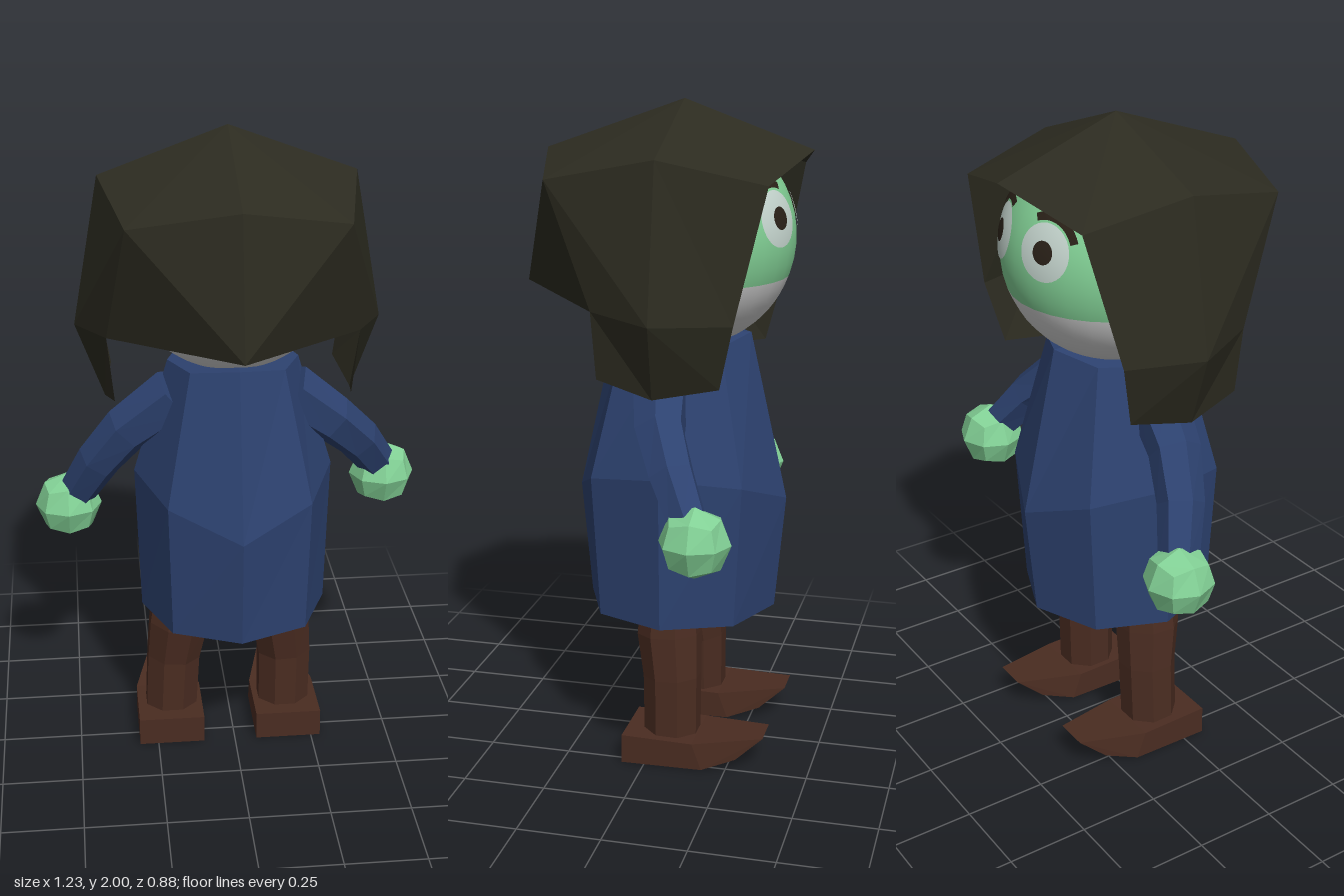
import * as THREE from 'three';

const mat = (name, color, side = THREE.FrontSide) => {
  const m = new THREE.MeshStandardMaterial({ color, side });
  m.name = name;
  return m;
};

// Flat-shaded copy of a geometry
function faceted(geo) {
  const g = geo.index ? geo.toNonIndexed() : geo;
  g.deleteAttribute('uv');
  g.computeVertexNormals();
  return g;
}

// Skin a stack of rings (bottom to top) and close both ends
function loft(rings) {
  const n = rings[0].length, pos = [];
  const tri = (...p) => p.forEach((v) => pos.push(v.x, v.y, v.z));
  for (let i = 0; i < rings.length - 1; i++) {
    for (let j = 0; j < n; j++) {
      const k = (j + 1) % n, a = rings[i], b = rings[i + 1];
      tri(a[j], a[k], b[k]);
      tri(a[j], b[k], b[j]);
    }
  }
  const lo = rings[0], hi = rings[rings.length - 1];
  for (let j = 1; j < n - 1; j++) {
    tri(lo[0], lo[j + 1], lo[j]);
    tri(hi[0], hi[j], hi[j + 1]);
  }
  const g = new THREE.BufferGeometry();
  g.setAttribute('position', new THREE.Float32BufferAttribute(pos, 3));
  return faceted(g);
}

// Tapered limb along points [x, y, z, radius], lowest point first
function limb(path, sides) {
  const pts = path.map(([x, y, z]) => new THREE.Vector3(x, y, z));
  return loft(pts.map((p, i) => {
    const t = pts[Math.min(i + 1, pts.length - 1)].clone().sub(pts[Math.max(i - 1, 0)]).normalize();
    const c = new THREE.Vector3(0, 0, 1).addScaledVector(t, -t.z).normalize();
    const s = t.clone().cross(c);
    return Array.from({ length: sides }, (_, k) => {
      const a = ((k + 0.5) / sides) * Math.PI * 2, r = path[i][3];
      return p.clone().addScaledVector(c, Math.cos(a) * r).addScaledVector(s, Math.sin(a) * r);
    });
  }));
}

// Thin hair shell: one half described, the other mirrored
function hairGeometry() {
  const P = {
    apex: [0, 2, -0.055],
    b: [0, 1.85, 0.365], bd: [0.315, 1.79, 0.28], s: [0.38, 1.86, -0.06],
    fd: [0.31, 1.79, -0.365], f: [0, 1.86, -0.44],
    b2: [0, 1.445, 0.435], bm: [0.37, 1.43, 0.13], sm: [0.46, 1.41, -0.06], fm: [0.385, 1.41, -0.285],
    bl: [0.35, 1.23, 0.12], sl: [0.375, 1.185, -0.05], fl: [0.35, 1.22, -0.24],
  };
  const faces = [
    'apex b bd', 'apex bd s', 'apex s fd', 'apex fd f', 'b b2 bd', 'bd b2 bm',
    'bd bm sm', 'bd sm s', 's sm fm', 's fm fd', 'bm bl sl', 'bm sl sm', 'sm sl fl', 'sm fl fm',
  ];
  const pos = [];
  for (const face of faces) {
    const v = face.split(' ').map((k) => P[k]);
    v.forEach(([x, y, z]) => pos.push(x - 0.01, y, z));
    v.reverse().forEach(([x, y, z]) => pos.push(-x - 0.01, y, z));
  }
  const g = new THREE.BufferGeometry();
  g.setAttribute('position', new THREE.Float32BufferAttribute(pos, 3));
  return faceted(g);
}

// Fist: subdivided cube pushed out to a sphere
function handGeometry(radius) {
  const g = new THREE.BoxGeometry(1, 1, 1, 2, 2, 2);
  const p = g.attributes.position, v = new THREE.Vector3();
  for (let i = 0; i < p.count; i++) {
    v.fromBufferAttribute(p, i).setLength(radius);
    p.setXYZ(i, v.x, v.y, v.z);
  }
  return faceted(g);
}

// Shoe: side profile extruded across, narrowed at the upturned toe
function shoeGeometry() {
  const outline = [[0.07, 0.005], [0.07, 0.095], [-0.15, 0.09], [-0.36, 0.108], [-0.28, 0.04], [-0.18, 0.008]];
  const shape = new THREE.Shape(outline.map(([z, y]) => new THREE.Vector2(-z, y)));
  const g = new THREE.ExtrudeGeometry(shape, { depth: 0.21, bevelEnabled: false });
  g.translate(0, 0, -0.105);
  g.rotateY(Math.PI / 2);
  const p = g.attributes.position;
  for (let i = 0; i < p.count; i++) {
    const toe = Math.max(0, (-p.getZ(i) - 0.18) / 0.18);
    p.setX(i, p.getX(i) * (1 - 0.5 * toe));
  }
  return faceted(g);
}

export function createModel() {
  const model = new THREE.Group();
  model.name = 'character';
  const hairMat = mat('dark hair', 0x2c2b20, THREE.DoubleSide);
  const coatMat = mat('blue coat', 0x2d4270);
  const skinMat = mat('green skin', 0x82d095);
  const whiteMat = mat('pale white', 0xd2d2d2);
  const legMat = mat('brown leather', 0x4a2c21);
  const eyeMat = mat('eye white', 0xc6d6cf);
  const darkMat = mat('dark brown', 0x2a2118);

  const add = (name, geo, material, parent = model) => {
    const m = new THREE.Mesh(geo, material);
    m.name = name;
    parent.add(m);
    return m;
  };

  // Head: green above, white below
  const R = 0.33, split = Math.acos(-0.33);
  const head = new THREE.Group();
  head.name = 'head';
  head.position.set(0, 1.6, -0.06);
  model.add(head);
  const band = (r, t0, t1, p0 = 0, p1 = Math.PI * 2) =>
    new THREE.SphereGeometry(r, 32, 14, p0, p1 - p0, t0, t1 - t0);
  add('face', band(R, 0, split), skinMat, head);
  add('jaw', band(R, split, Math.PI), whiteMat, head);

  // Eyes and brows: thin patches following the head, facing -z
  for (const side of [1, -1]) {
    const eye = new THREE.Group();
    eye.name = side > 0 ? 'leftEye' : 'rightEye';
    const dir = new THREE.Vector3(side * 0.34, 0.23, -0.91).normalize();
    eye.quaternion.setFromUnitVectors(new THREE.Vector3(0, 1, 0), dir);
    head.add(eye);
    add('eyeWhite', band(R + 0.004, 0, 0.25), eyeMat, eye);
    add('pupil', band(R + 0.007, 0, 0.1), darkMat, eye);
    add('brow', band(R + 0.006, 0.27, 0.34, Math.PI / 2 - 0.8, Math.PI / 2 + 0.8), darkMat, eye);
  }

  add('hair', hairGeometry(), hairMat);

  // Coat: eight-sided rings [y, lift at the sides, x radius, z radius]
  const coatRings = [[0.46, 0, 0.293, 0.293], [0.81, 0.12, 0.308, 0.325], [1.32, -0.03, 0.2, 0.21]];
  add('coat', loft(coatRings.map(([y, lift, rx, rz]) =>
    Array.from({ length: 8 }, (_, k) => {
      const s = Math.sin((k * Math.PI) / 4), c = Math.cos((k * Math.PI) / 4);
      return new THREE.Vector3(0.005 + rx * s, y + lift * Math.abs(s), -0.055 + rz * c);
    }))), coatMat);

  // Arms, hands, legs and shoes, posed slightly differently on each side
  const sides = [
    {
      name: 'left', hand: [0.505, 0.82, -0.21], shoe: 0.175,
      arm: [[0.485, 0.87, -0.185, 0.06], [0.41, 0.98, -0.12, 0.07], [0.31, 1.08, -0.06, 0.078], [0.17, 1.19, -0.03, 0.09]],
      leg: [[0.17, 0.08, -0.065, 0.088], [0.172, 0.27, -0.065, 0.09], [0.155, 0.4, -0.052, 0.1], [0.145, 0.52, -0.052, 0.09]],
    },
    {
      name: 'right', hand: [-0.51, 0.77, -0.175], shoe: -0.205,
      arm: [[-0.48, 0.82, -0.155, 0.06], [-0.41, 0.95, -0.1, 0.07], [-0.32, 1.07, -0.06, 0.078], [-0.17, 1.19, -0.03, 0.09]],
      leg: [[-0.2, 0.08, -0.065, 0.088], [-0.19, 0.27, -0.065, 0.09], [-0.172, 0.4, -0.052, 0.1], [-0.162, 0.52, -0.052, 0.09]],
    },
  ];
  for (const s of sides) {
    add(s.name + 'Sleeve', limb(s.arm, 6), coatMat);
    add(s.name + 'Hand', handGeometry(0.105), skinMat).position.set(...s.hand);
    add(s.name + 'Leg', limb(s.leg, 8), legMat);
    add(s.name + 'Shoe', shoeGeometry(), legMat).position.x = s.shoe;
  }
  return model;
}
